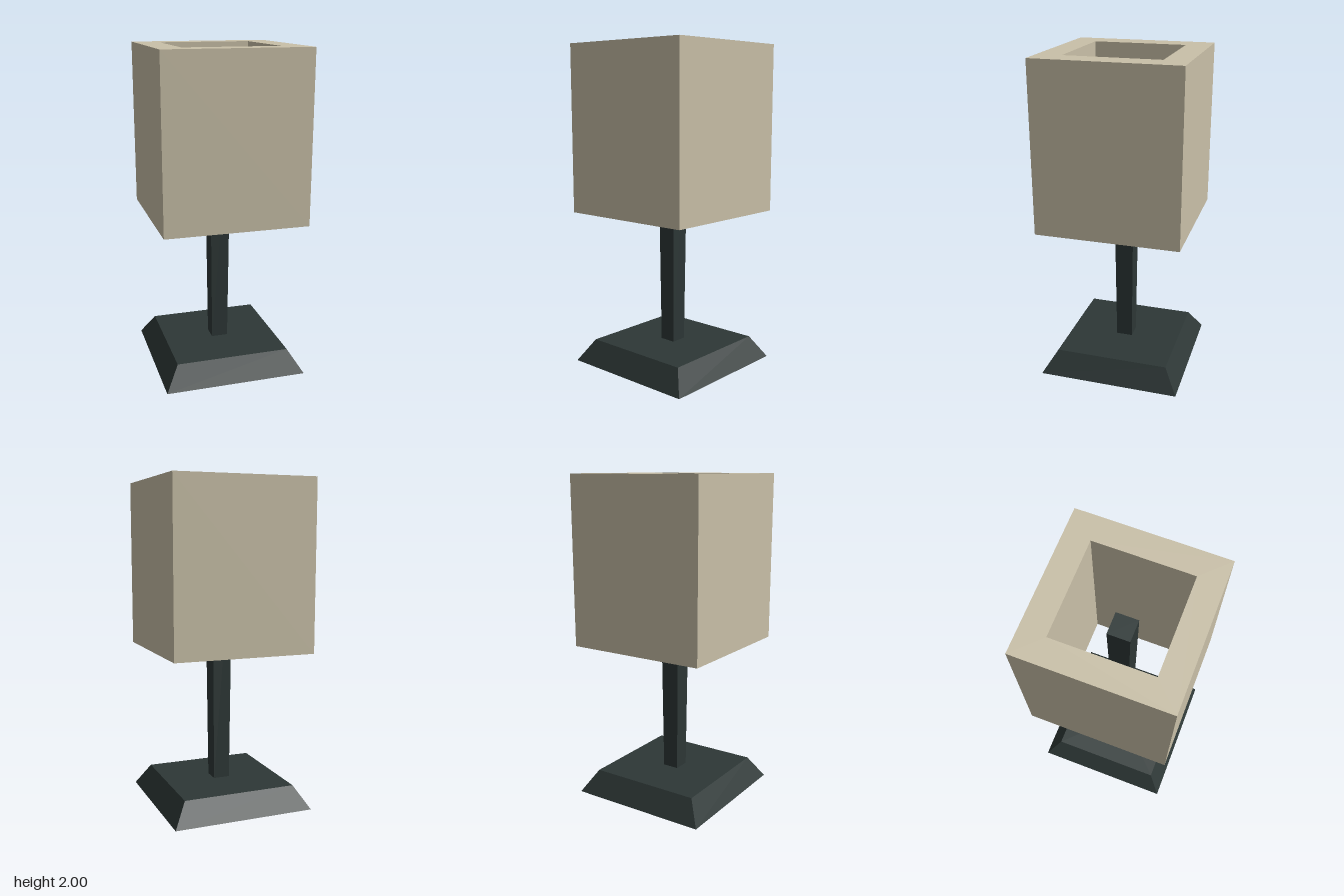
import * as THREE from 'three';

const charcoal = new THREE.MeshStandardMaterial({ name: 'charcoal', color: 0x2d3736 });
const linen = new THREE.MeshStandardMaterial({ name: 'linen', color: 0xc9c0a8 });

// Square tapered block given its half-widths and its bottom and top heights
function taperedBlock(name, bottomHalf, topHalf, y0, y1) {
  const round = new THREE.CylinderGeometry(topHalf * Math.SQRT2, bottomHalf * Math.SQRT2, y1 - y0, 4);
  round.rotateY(Math.PI / 4).translate(0, (y0 + y1) / 2, 0);
  const geometry = round.toNonIndexed();
  geometry.computeVertexNormals();
  const mesh = new THREE.Mesh(geometry, charcoal);
  mesh.name = name;
  return mesh;
}

function squarePoints(half) {
  return [[-1, -1], [1, -1], [1, 1], [-1, 1]].map(([x, y]) => new THREE.Vector2(x * half, y * half));
}

// Thick-walled square tube, open at top and bottom
function squareTube(name, outerHalf, innerHalf, y0, y1) {
  const shape = new THREE.Shape(squarePoints(outerHalf));
  shape.holes.push(new THREE.Path(squarePoints(innerHalf).reverse()));
  const geometry = new THREE.ExtrudeGeometry(shape, { depth: y1 - y0, bevelEnabled: false });
  geometry.rotateX(-Math.PI / 2).translate(0, y0, 0);
  const mesh = new THREE.Mesh(geometry, linen);
  mesh.name = name;
  return mesh;
}

export function createModel() {
  const lamp = new THREE.Group();
  lamp.name = 'tableLamp';
  lamp.add(
    taperedBlock('base', 0.437, 0.352, 0, 0.138),
    taperedBlock('stem', 0.051, 0.067, 0.13, 1.75), // widens upwards into the shade
    squareTube('shade', 0.437, 0.287, 0.97, 2),
  );
  return lamp;
}
